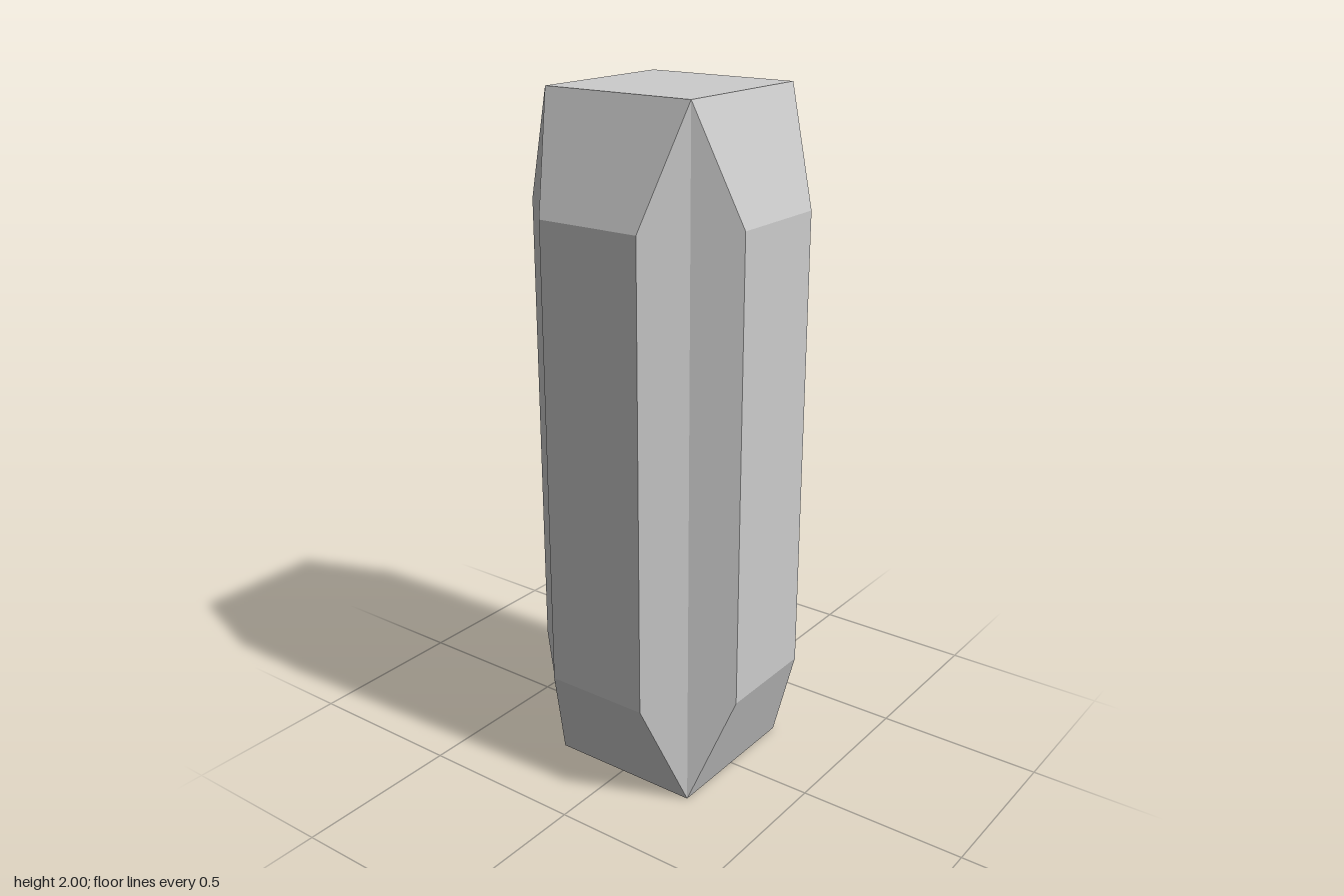
import * as THREE from 'three';

const HEIGHT = 2;
const CORE = 0.233;        // half width of the square core and end caps
const OUT = 0.353;         // distance of the outer facets from the axis
const HALF = 0.158;        // half width of the outer facets
const LOW = 0.325, HIGH = 1.68; // vertical extent of the outer facets
const DX = 0.005, DZ = -0.005;  // slight offset of the core

const material = new THREE.MeshStandardMaterial({ color: 0xcccccc, flatShading: true });

// Flat-shaded mesh from four-cornered faces, corners counter-clockwise from outside
function facetMesh(name, quads) {
  const points = quads.flatMap(([a, b, c, d]) => [a, b, c, a, c, d]).flat();
  const geometry = new THREE.BufferGeometry();
  geometry.setAttribute('position', new THREE.Float32BufferAttribute(points, 3));
  geometry.computeVertexNormals();
  const mesh = new THREE.Mesh(geometry, material);
  mesh.name = name;
  return mesh;
}

// One bevelled side: outer facet, sloped ends and two flanks meeting the core's corners
function sidePanel(name, nx, nz) {
  const inner = (s, y) => [DX + nx * CORE + nz * s * CORE, y, DZ + nz * CORE - nx * s * CORE];
  const outer = (s, y) => [
    nx * OUT + nz * s * HALF + Math.abs(nz) * DX, y,
    nz * OUT - nx * s * HALF + Math.abs(nx) * DZ];
  const i = [inner(-1, 0), inner(1, 0), inner(1, HEIGHT), inner(-1, HEIGHT)];
  const o = [outer(-1, LOW), outer(1, LOW), outer(1, HIGH), outer(-1, HIGH)];
  const bevels = i.map((p, k) => [p, i[(k + 1) % 4], o[(k + 1) % 4], o[k]]);
  return facetMesh(name, [o, ...bevels]);
}

// Square end cap
function endCap(name, y) {
  const corners = [[-1, 1], [1, 1], [1, -1], [-1, -1]]
    .map(([x, z]) => [DX + x * CORE, y, DZ + z * CORE]);
  return facetMesh(name, [y > 0 ? corners : corners.reverse()]);
}

export function createModel() {
  const group = new THREE.Group();
  group.name = 'crystal';
  group.add(
    sidePanel('frontFacet', 0, 1),
    sidePanel('leftFacet', 1, 0),
    sidePanel('backFacet', 0, -1),
    sidePanel('rightFacet', -1, 0),
    endCap('topCap', HEIGHT),
    endCap('bottomCap', 0),
  );
  return group;
}
